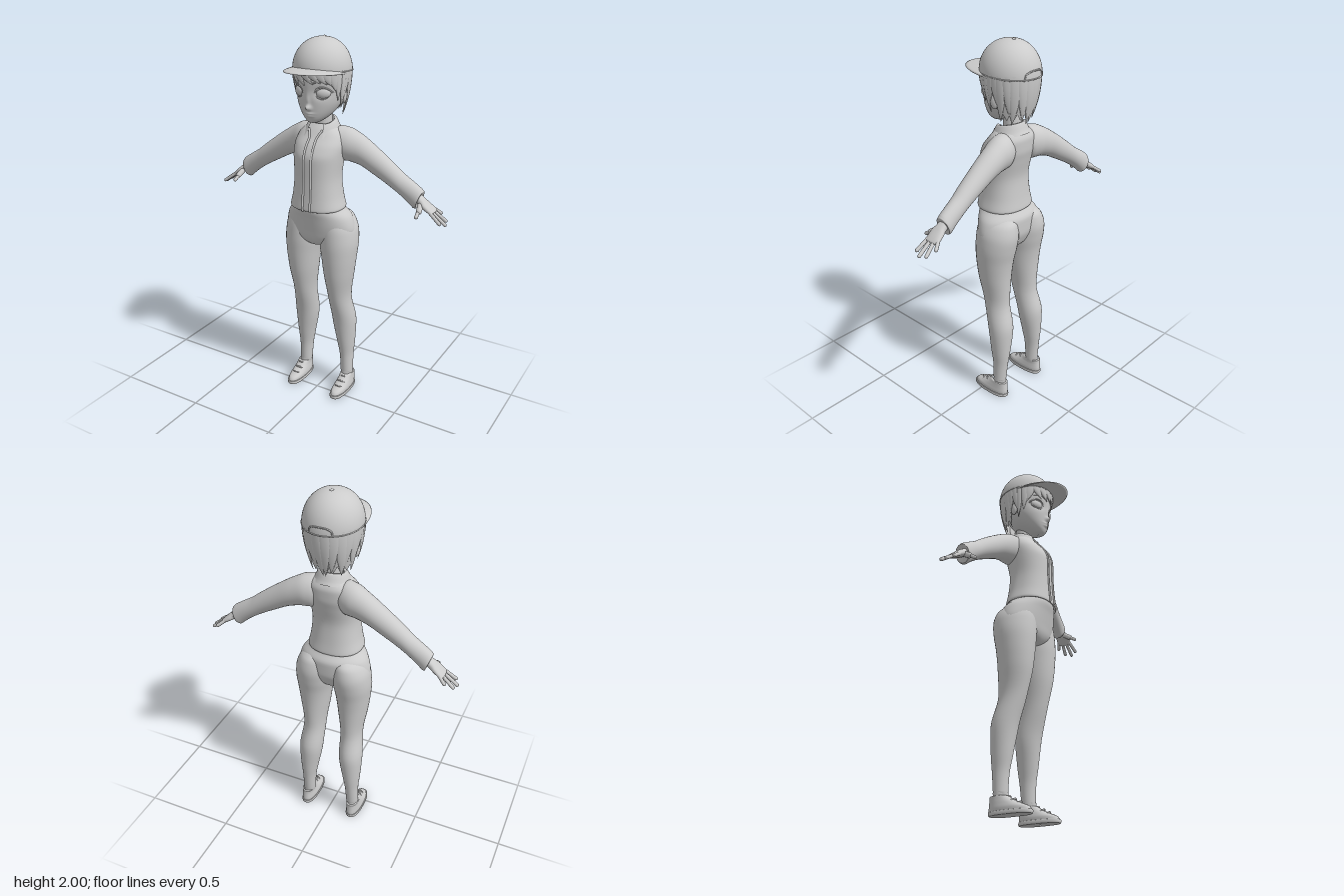
import * as THREE from 'three';
import { mergeVertices } from 'three/addons/utils/BufferGeometryUtils.js';
import { ParametricGeometry } from 'three/addons/geometries/ParametricGeometry.js';

const solid = new THREE.MeshStandardMaterial({ color: 0xcccccc });
const open = new THREE.MeshStandardMaterial({ color: 0xcccccc, side: THREE.DoubleSide });
const V = (x, y, z) => new THREE.Vector3(x, y, z);
const bump = (x, y, sx, sy) => Math.exp(-((x / sx) ** 2) - (y / sy) ** 2);

// smooth, non-overshooting interpolation of table rows at t in 0..1
function sample(rows, t) {
  const n = rows.length - 1, f = t * n, i = Math.min(Math.floor(f), n - 1), s = f - i;
  return rows[0].map((_, c) => {
    const d = k => rows[k + 1][c] - rows[k][c];
    const m = k => {
      if (k === 0) return d(0);
      if (k === n) return d(n - 1);
      const a = d(k - 1), b = d(k);
      return a * b <= 0 ? 0 : 2 * a * b / (a + b);
    };
    const s2 = s * s, s3 = s2 * s;
    return (2 * s3 - 3 * s2 + 1) * rows[i][c] + (s3 - 2 * s2 + s) * m(i)
      + (3 * s2 - 2 * s3) * rows[i + 1][c] + (s3 - s2) * m(i + 1);
  });
}

// parametric surface with welded seams and smooth normals
function surface(fn, nu, nv) {
  const g = new ParametricGeometry(fn, nu, nv);
  g.deleteAttribute('normal');
  g.deleteAttribute('uv');
  const w = mergeVertices(g, 1e-5);
  w.computeVertexNormals();
  return w;
}

// rows along y: [y, x0, x1, z0, z1]; along x: [x, y0, y1, z0, z1]
function loft(rows, { axis = 'y', pow = 2, seg = 32, per = 5, deform } = {}) {
  const e = 2 / pow, sp = v => Math.sign(v) * Math.abs(v) ** e;
  return surface((u, v, o) => {
    const [s, p0, p1, q0, q1] = sample(rows, v), a = (u % 1) * Math.PI * 2;
    const p = (p0 + p1) / 2 + (p1 - p0) / 2 * sp(Math.cos(a));
    const q = (q0 + q1) / 2 + (q1 - q0) / 2 * sp(Math.sin(a)) * (axis === 'y' ? -1 : 1);
    axis === 'y' ? o.set(p, s, q) : o.set(s, p, q);
    if (deform) deform(o);
  }, seg, (rows.length - 1) * per);
}
// symmetric rows [y, halfWidth, z0, z1]
const sym = rows => rows.map(([y, x, a, b]) => [y, -x, x, a, b]);

function mirrored(g) {
  const m = g.clone().applyMatrix4(new THREE.Matrix4().makeScale(-1, 1, 1));
  const ix = m.index.array;
  for (let i = 0; i < ix.length; i += 3) [ix[i], ix[i + 1]] = [ix[i + 1], ix[i]];
  return m;
}
const tube = (pts, r, n = 24) => new THREE.TubeGeometry(new THREE.CatmullRomCurve3(pts), n, r, 6);
function capsule(a, b, r) {
  const d = b.clone().sub(a), g = new THREE.CapsuleGeometry(r, d.length() - r, 5, 10);
  g.applyQuaternion(new THREE.Quaternion().setFromUnitVectors(V(0, 1, 0), d.clone().normalize()));
  return g.translate(...a.clone().add(b).multiplyScalar(0.5).toArray());
}
const blob = (x, y, z, sx, sy, sz, ry = 0) =>
  new THREE.SphereGeometry(1, 24, 16).scale(sx, sy, sz).rotateY(ry).translate(x, y, z);

// point on the hair envelope; angle from the front, k shrinks towards the nape
function hairPoint(a, y, grow = 1) {
  const k = grow * (1 - 0.27 * (Math.max(0, 1.84 - y) / 0.24) ** 2);
  return V(0.14 * k * Math.sin(a), y, -0.05 + 0.148 * k * Math.cos(a));
}
function lock(a, tip, w, lean = 0) {
  return surface((u, v, o) => {
    const phi = (u % 1) * Math.PI * 2, b = a + lean * v * v, taper = 1 - v ** 2.2;
    o.copy(hairPoint(b, 1.85 + (tip - 1.85) * v, 0.995));
    const c = w * taper * Math.cos(phi), t = 0.01 * taper * Math.sin(phi);
    o.x += Math.cos(b) * c + Math.sin(b) * t;
    o.z += -Math.sin(b) * c + Math.cos(b) * t;
  }, 10, 10);
}

export function createModel() {
  const model = new THREE.Group();
  const add = (name, g, mat = solid, parent = model) => {
    const m = new THREE.Mesh(g, mat);
    m.name = name;
    parent.add(m);
  };
  const pair = (name, g, mat) => {
    add('left' + name, g, mat);
    add('right' + name, mirrored(g), mat);
  };

  // trousers
  add('pelvis', loft(sym([[0.905, 0.01, -0.07, -0.02], [0.92, 0.07, -0.12, 0.035], [0.96, 0.17, -0.145, 0.062],
    [1.01, 0.2, -0.16, 0.073], [1.08, 0.182, -0.162, 0.088], [1.13, 0.143, -0.135, 0.1], [1.17, 0.12, -0.12, 0.09]]), { seg: 48 }));
  pair('Leg', loft([[0.085, 0.106, 0.169, -0.14, -0.073], [0.1, 0.103, 0.172, -0.142, -0.07], [0.2, 0.097, 0.172, -0.152, -0.065],
    [0.3, 0.08, 0.18, -0.163, -0.05], [0.44, 0.056, 0.187, -0.17, -0.028], [0.6, 0.05, 0.172, -0.137, 0.015],
    [0.75, 0.03, 0.192, -0.142, 0.048], [0.85, 0.017, 0.204, -0.152, 0.058], [0.93, 0.004, 0.21, -0.168, 0.062],
    [1.0, 0, 0.204, -0.177, 0.06], [1.07, 0.01, 0.175, -0.165, 0.05], [1.12, 0.05, 0.1, -0.1, 0]]));

  // shoes
  pair('Sock', loft([[0.07, 0.108, 0.17, -0.145, -0.062], [0.095, 0.108, 0.168, -0.143, -0.066], [0.112, 0.104, 0.172, -0.145, -0.066]]));
  pair('Sole', loft([[0, 0.14, 0.145, -0.05, -0.04], [0.001, 0.102, 0.184, -0.16, 0.066], [0.01, 0.099, 0.187, -0.164, 0.07],
    [0.02, 0.1, 0.186, -0.163, 0.069], [0.022, 0.108, 0.178, -0.155, 0.06]], { pow: 2.5 }));
  pair('Shoe', loft([[0.018, 0.103, 0.183, -0.161, 0.066], [0.035, 0.102, 0.184, -0.162, 0.055], [0.055, 0.105, 0.181, -0.16, 0.012],
    [0.075, 0.108, 0.178, -0.158, -0.03], [0.092, 0.108, 0.176, -0.157, -0.055], [0.095, 0.116, 0.168, -0.148, -0.064]], { pow: 2.3 }));
  for (let i = 0; i < 3; i++) {
    const y = 0.056 + i * 0.016, z = 0.008 - i * 0.031;
    pair('Lace' + i, tube([V(0.118, y - 0.008, z - 0.01), V(0.143, y + 0.003, z + 0.004), V(0.168, y - 0.008, z - 0.01)], 0.005, 10));
  }

  // jacket
  const body = [[1.145, 0.128, -0.125, 0.09], [1.13, 0.142, -0.138, 0.107], [1.14, 0.146, -0.142, 0.111], [1.2, 0.132, -0.134, 0.106], [1.3, 0.122, -0.127, 0.101],
    [1.4, 0.13, -0.145, 0.099], [1.46, 0.135, -0.157, 0.077], [1.51, 0.125, -0.158, 0.038], [1.545, 0.095, -0.145, 0.012], [1.57, 0.05, -0.12, -0.01]];
  add('jacketBody', loft(sym(body), { pow: 2.3, seg: 64 }));
  const edge = body.slice(1, 9).map(([y, , , z], i) => V(i > 6 ? 0.04 : 0.022, y, z + 0.001));
  pair('JacketFrontEdge', tube(edge, 0.006, 40));
  pair('Sleeve', loft([[0.05, 1.42, 1.53, -0.14, -0.02], [0.09, 1.375, 1.555, -0.158, -0.012], [0.135, 1.375, 1.549, -0.166, -0.02], [0.2, 1.362, 1.518, -0.166, -0.037],
    [0.3, 1.313, 1.452, -0.161, -0.05], [0.4, 1.257, 1.378, -0.157, -0.06], [0.48, 1.203, 1.313, -0.156, -0.07],
    [0.525, 1.178, 1.28, -0.157, -0.073], [0.535, 1.18, 1.27, -0.153, -0.077], [0.53, 1.21, 1.25, -0.13, -0.1]], {
    axis: 'x', deform: o => { if (o.x > 0.44) o.x += (o.y - 1.235) * 0.35 * Math.min(1, (o.x - 0.44) / 0.08); },
  }));
  // folded collar, open at the throat
  add('collar', surface((u, v, o) => {
    const a = 0.5 + u * (Math.PI * 2 - 1), front = (1 + Math.cos(a)) / 2;
    const [r, y] = sample([[0.052, -0.04], [0.056, 0], [0.066, 0.002], [0.083, -0.035], [0.094, -0.052 - 0.012 * front]], v);
    o.set(Math.sin(a) * r * (1 + 0.2 * front * v), 1.597 + y - 0.03 * front, -0.062 + Math.cos(a) * r * (0.98 + 0.22 * front * v));
  }, 48, 12), open);

  // hands: modelled along x, then turned to follow the arm
  const place = g => g.rotateZ(-0.61).translate(0.53, 1.23, -0.115);
  pair('Palm', place(loft([[-0.02, -0.02, 0.02, -0.028, 0.028], [0.015, -0.02, 0.02, -0.028, 0.032], [0.045, -0.018, 0.017, -0.036, 0.042],
    [0.08, -0.014, 0.013, -0.041, 0.04], [0.098, -0.009, 0.009, -0.036, 0.034], [0.104, -0.001, 0.001, -0.01, 0.01]], { axis: 'x', pow: 2.4 })));
  [['Index', 0.17, 0.029, 0.045], ['Middle', 0.19, 0.01, 0.011], ['Ring', 0.177, -0.011, -0.027], ['Little', 0.13, -0.031, -0.054]]
    .forEach(([n, x, z0, z1]) => pair(n + 'Finger', place(capsule(V(0.075, 0, z0), V(x - 0.005, -0.003, z1), 0.0092))));
  pair('ThumbBase', place(capsule(V(0.02, -0.004, 0.014), V(0.048, -0.024, 0.066), 0.015)));
  pair('Thumb', place(capsule(V(0.04, -0.02, 0.055), V(0.058, -0.039, 0.096), 0.0095)));

  // neck, head and face
  add('neck', loft(sym([[1.52, 0.055, -0.125, 0.0], [1.56, 0.045, -0.11, -0.018], [1.66, 0.045, -0.11, -0.015]])));
  add('head', loft(sym([[1.584, 0.002, 0.025, 0.03], [1.588, 0.024, -0.005, 0.058], [1.605, 0.052, -0.05, 0.071], [1.64, 0.086, -0.11, 0.08],
    [1.69, 0.112, -0.15, 0.086], [1.74, 0.124, -0.175, 0.091], [1.8, 0.13, -0.185, 0.093], [1.87, 0.115, -0.165, 0.07], [1.9, 0.01, -0.06, -0.04]]), {
    seg: 96, per: 10, deform: o => {
      if (o.z < 0) return;
      const x = Math.abs(o.x), y = o.y;
      o.z += 0.021 * bump(x, y - 1.668, 0.014, 0.013) + 0.008 * bump(x, y - 1.7, 0.01, 0.03)
        + 0.008 * bump(x, y - 1.639, 0.024, 0.006) + 0.008 * bump(x, y - 1.626, 0.02, 0.006)
        - 0.014 * bump(x - 0.066, y - 1.742, 0.036, 0.028);
    },
  }));
  pair('Eye', blob(0.067, 1.742, 0.053, 0.037, 0.027, 0.018, 0.5));
  pair('UpperEyelid', tube([V(0.03, 1.74, 0.078), V(0.045, 1.764, 0.077), V(0.07, 1.772, 0.067), V(0.094, 1.76, 0.046), V(0.107, 1.744, 0.025)], 0.004));
  pair('LowerEyelid', tube([V(0.03, 1.738, 0.077), V(0.05, 1.718, 0.072), V(0.072, 1.714, 0.062), V(0.095, 1.725, 0.043)], 0.0025));
  pair('Eyebrow', tube([V(0.025, 1.79, 0.091), V(0.06, 1.8, 0.08), V(0.098, 1.79, 0.05)], 0.0035));
  pair('Ear', blob(0.122, 1.715, -0.06, 0.012, 0.034, 0.022, 0.3));

  // hair: a back shell with a ragged edge, then separate locks
  add('backHair', surface((u, v, o) => {
    const a = 1.85 + u * (Math.PI * 2 - 3.7), zig = Math.abs((u * 9) % 1 - 0.5) * 0.07;
    o.copy(hairPoint(a, 1.86 - v * (0.2 + zig)));
  }, 72, 14), open);
  const locks = new THREE.Group();
  locks.name = 'hairLocks';
  model.add(locks);
  [[-0.95, 1.745, 0.03, -0.15], [-0.68, 1.775, 0.03, 0.25], [-0.4, 1.775, 0.03, 0.3], [-0.12, 1.785, 0.03, 0.35], [0.15, 1.79, 0.03, 0.35],
    [0.42, 1.785, 0.03, 0.3], [0.68, 1.775, 0.03, 0.25], [0.95, 1.745, 0.03, 0.15]].forEach(([a, y, w, l], i) => add('fringeLock' + i, lock(a, y, w, l), solid, locks));
  [[1.15, 1.7, 0.024, 0.05], [1.35, 1.655, 0.02, 0.1], [1.55, 1.7, 0.024, -0.1], [1.75, 1.685, 0.026, 0.1], [1.95, 1.615, 0.028, -0.08], [2.2, 1.635, 0.03, 0.1],
    [2.45, 1.6, 0.032, -0.1], [2.72, 1.618, 0.032, 0.1], [3, 1.597, 0.032, 0.08]].forEach(([a, y, w, l], i) => {
    const g = lock(a, y, w, l);
    add('leftLock' + i, g, solid, locks);
    add('rightLock' + i, mirrored(g), solid, locks);
  });

  // cap
  const tilt = z => 1.838 + 0.06 * (z + 0.05);
  add('capCrown', surface((u, v, o) => {
    const a = (u % 1) * Math.PI * 2, t = v * Math.PI / 2, r = Math.cos(t) ** 0.94;
    const z = -0.052 + 0.157 * r * -Math.sin(a), b = tilt(z);
    o.set(0.148 * r * Math.cos(a), b + (1.997 - b) * Math.sin(t), z);
  }, 48, 24), open);
  const rim = Array.from({ length: 24 }, (_, i) => {
    const a = i / 24 * Math.PI * 2, z = -0.052 + 0.156 * Math.cos(a);
    return V(0.147 * Math.sin(a), tilt(z) + 0.002, z);
  });
  add('capRim', new THREE.TubeGeometry(new THREE.CatmullRomCurve3(rim, true), 72, 0.004, 6, true));
  add('capButton', blob(0, 1.993, -0.07, 0.011, 0.007, 0.011));
  add('capStrapArch', tube([-0.4, -0.37, -0.22, 0, 0.22, 0.37, 0.4].map((a, i) =>
    V(0.15 * Math.sin(a), 1.838 + [0, 0.018, 0.03, 0.033, 0.03, 0.018, 0][i], -0.052 - 0.156 * Math.cos(a))), 0.004));
  // curved peak: thin closed section swept across the front
  add('capPeak', surface((u, v, o) => {
    const a = (u - 0.5) * Math.PI, s = v < 0.5 ? 2 * v : 2 - 2 * v, c = Math.cos(a);
    const lip = (v < 0.5 ? 1 : -1) * 0.005 * Math.sqrt(Math.max(0, 1 - s ** 6)) * (s === 0 ? 0.8 : 1);
    const z = (-0.03 + 0.13 * c) * (1 - s) + (-0.03 + 0.237 * c ** 0.85) * s;
    o.set((0.14 + 0.008 * s) * Math.sin(a), 1.834 + 0.015 * c + 0.008 * c * (1 - s) + lip, z);
  }, 40, 20), open);

  return model;
}
